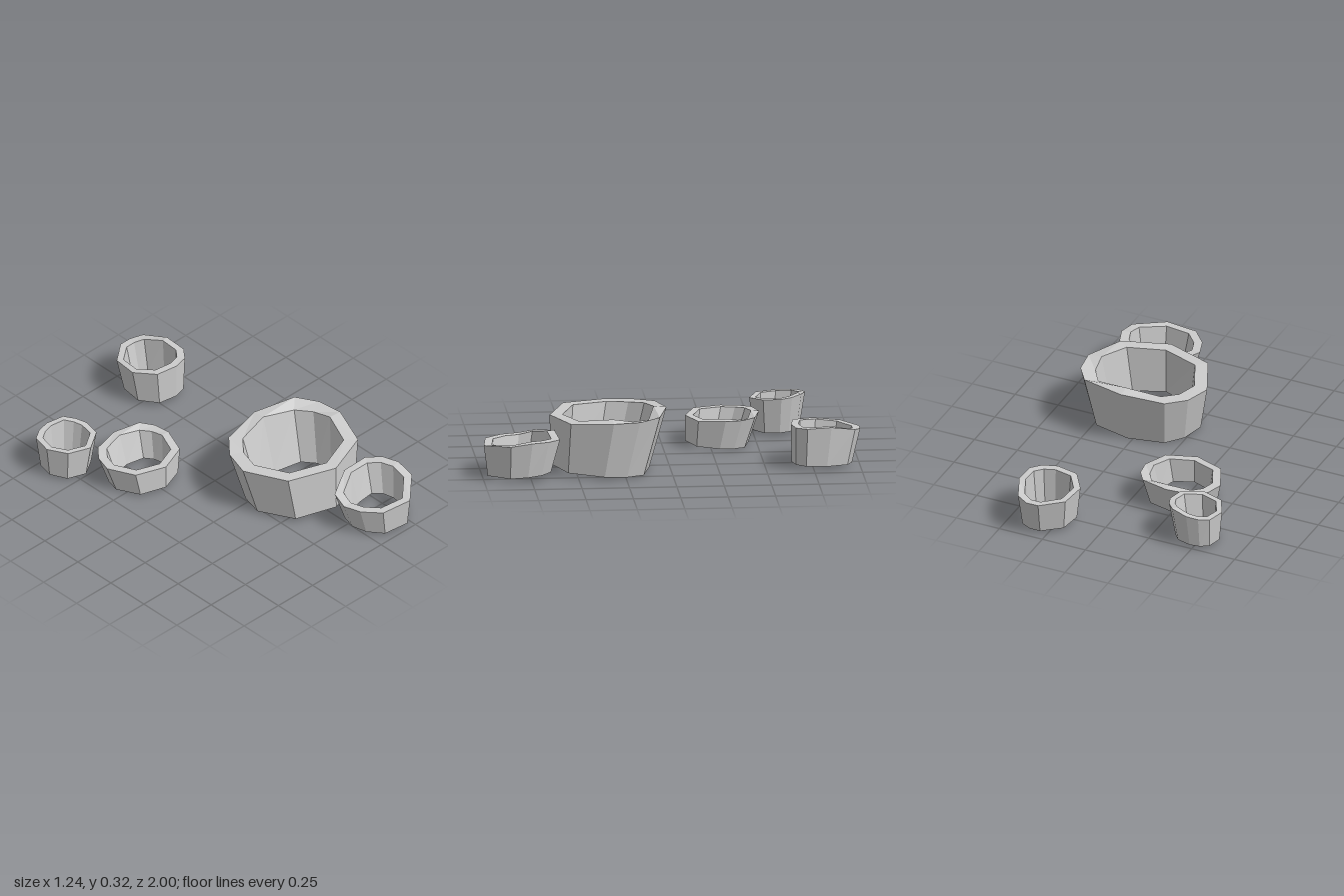
import * as THREE from 'three';

const WALL = 0.78; // opening size relative to the outer outline

// Faceted, tapered open ring. Loops: outer rim -> outer foot -> inner foot -> inner rim.
function makeRing(name, { outline, rim, innerRim = rim, foot, taper, footY }) {
  const xs = outline.map(p => p[0]), zs = outline.map(p => p[1]);
  const mid = a => (Math.min(...a) + Math.max(...a)) / 2;
  const cx = mid(xs), cz = mid(zs);
  const zMin = Math.min(...zs), zMax = Math.max(...zs);

  const topLoop = (s, ys) => outline.map(([x, z], i) =>
    [cx + (x - cx) * s, ys[i], cz + (z - cz) * s]);
  const footLoop = s => outline.map(([x, z]) => [
    foot[0] + (x - cx) * taper * s,
    THREE.MathUtils.mapLinear(z, zMin, zMax, footY[0], footY[1]),
    foot[1] + (z - cz) * taper * s,
  ]);

  const loops = [topLoop(1, rim), footLoop(1), footLoop(WALL), topLoop(WALL, innerRim)];
  const n = outline.length, pos = [];
  loops.forEach((a, k) => {
    const b = loops[(k + 1) % loops.length];
    for (let i = 0; i < n; i++) {
      const j = (i + 1) % n;
      pos.push(...a[i], ...a[j], ...b[j], ...a[i], ...b[j], ...b[i]);
    }
  });
  const geo = new THREE.BufferGeometry();
  geo.setAttribute('position', new THREE.Float32BufferAttribute(pos, 3));
  geo.computeVertexNormals();
  const mesh = new THREE.Mesh(geo,
    new THREE.MeshStandardMaterial({ color: 0xcccccc, flatShading: true }));
  mesh.name = name;
  return mesh;
}

// Outlines are [x, z], starting at the back and running towards +x; footY is [back, front].
const large = {
  outline: [[0.275, 0.016], [0.513, 0.07], [0.587, 0.18], [0.607, 0.32], [0.524, 0.54],
    [0.275, 0.632], [0.015, 0.54], [-0.09, 0.307], [-0.048, 0.16], [0.042, 0.06]],
  rim: [0.32, 0.32, 0.312, 0.31, 0.295, 0.29, 0.292, 0.285, 0.29, 0.30],
  innerRim: [0.325, 0.295, 0.30, 0.318, 0.297, 0.29, 0.292, 0.287, 0.29, 0.30],
  foot: [0.265, 0.368], taper: 0.85, footY: [0, 0.028],
};

const front = {
  outline: [[0.354, 0.614], [0.52, 0.598], [0.587, 0.66], [0.617, 0.75], [0.608, 0.862],
    [0.466, 0.995], [0.29, 0.974], [0.21, 0.884], [0.18, 0.79], [0.2, 0.7]],
  rim: [0.225, 0.212, 0.215, 0.215, 0.197, 0.175, 0.175, 0.175, 0.175, 0.195],
  foot: [0.41, 0.81], taper: 0.83, footY: [0.035, 0.012],
};

const back = {
  outline: [[0.275, -1], [0.344, -1], [0.407, -0.968], [0.46, -0.84], [0.46, -0.714],
    [0.413, -0.656], [0.333, -0.635], [0.212, -0.656], [0.138, -0.767], [0.159, -0.91]],
  rim: [0.2, 0.2, 0.21, 0.235, 0.228, 0.225, 0.228, 0.225, 0.215, 0.205],
  foot: [0.305, -0.798], taper: 0.87, footY: [0.018, 0.025],
};

const small = {
  outline: [[-0.48, -0.777], [-0.386, -0.75], [-0.344, -0.698], [-0.323, -0.64], [-0.339, -0.545],
    [-0.444, -0.48], [-0.566, -0.524], [-0.62, -0.63], [-0.598, -0.735], [-0.545, -0.767]],
  rim: [0.208, 0.218, 0.21, 0.205, 0.2, 0.19, 0.192, 0.19, 0.195, 0.2],
  foot: [-0.48, -0.625], taper: 0.83, footY: [0.02, 0.012],
};

export function createModel() {
  const group = new THREE.Group();
  group.name = 'stoneRings';
  group.add(
    makeRing('largeRing', large),
    makeRing('frontRing', front),
    makeRing('backRing', back),
    makeRing('smallRing', small),
  );

  // Medium ring: a lower, reduced copy of the large one
  const medium = makeRing('mediumRing', large);
  medium.scale.set(0.632, 0.52, 0.635);
  medium.position.set(-0.412, 0, -0.525);
  group.add(medium);
  return group;
}
